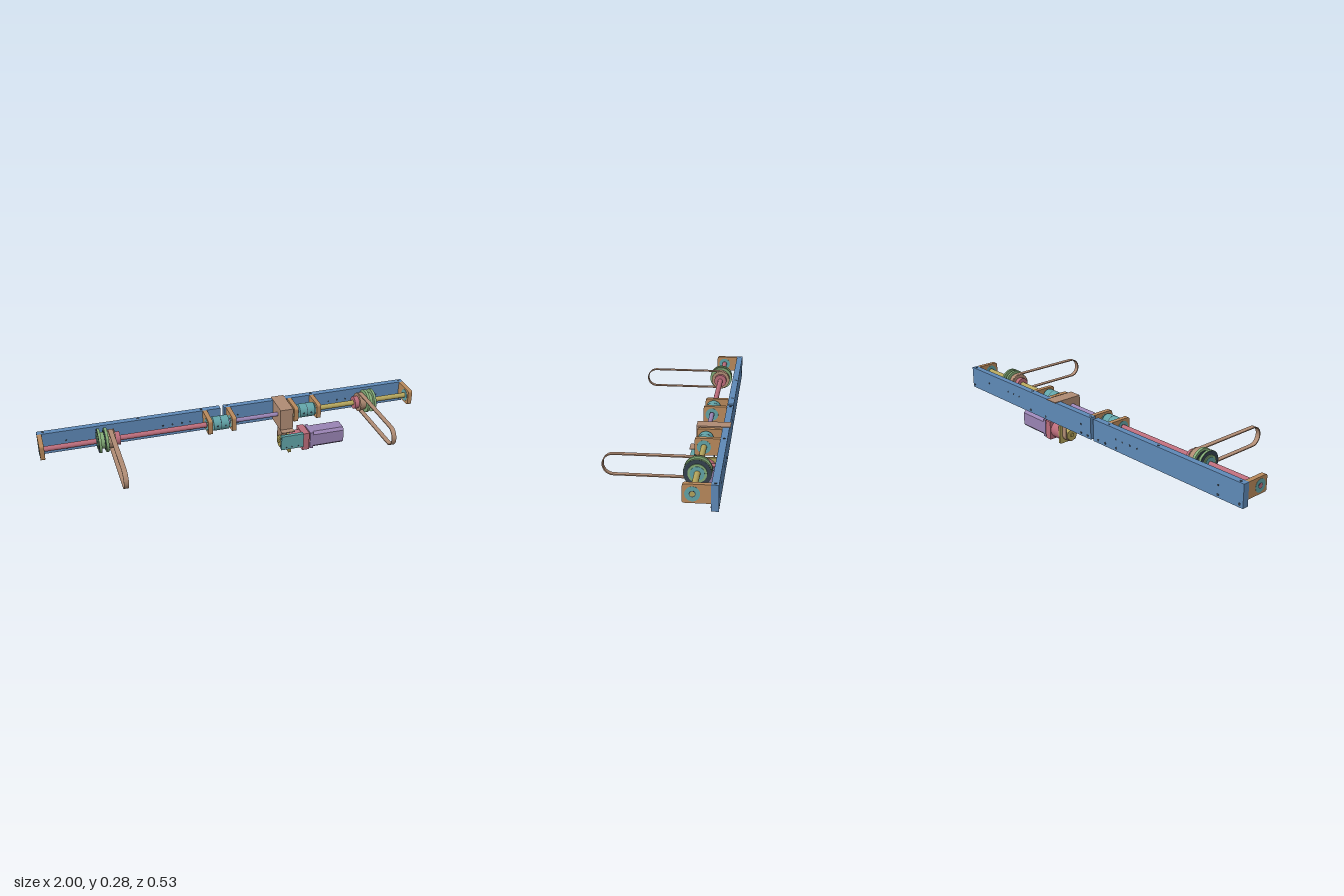
import * as THREE from 'three';

export function createModel() {
  const model = new THREE.Group();
  const paint = (name, color) => {
    const m = new THREE.MeshStandardMaterial({ color });
    m.name = name;
    return m;
  };
  const blue = paint('steel blue', 0x5f8ab8), red = paint('dusty red', 0xbb6c7a);
  const green = paint('soft green', 0x84ad78), teal = paint('teal', 0x62a4a8);
  const purple = paint('lavender', 0x9a84b4), yellow = paint('mustard', 0xb5a55c);
  const orange = paint('copper', 0xb98a5c), brown = paint('tan', 0xb08c74);
  const dark = paint('dark slate', 0x35424f);

  const SY = 0.218, SZ = -0.155; // main shaft axis
  const MY = 0.05; // motor axis height

  const add = (name, geo, mat, parent = model) => {
    const mesh = new THREE.Mesh(geo, mat);
    mesh.name = name;
    parent.add(mesh);
    return mesh;
  };
  // box given by its minimum and maximum on each axis
  const box = (name, mat, x0, x1, y0, y1, z0, z1) => {
    const m = add(name, new THREE.BoxGeometry(x1 - x0, y1 - y0, z1 - z0), mat);
    m.position.set((x0 + x1) / 2, (y0 + y1) / 2, (z0 + z1) / 2);
    return m;
  };
  // cylinder lying along x
  const rod = (name, mat, x0, x1, r, y = SY, z = SZ, seg = 40) => {
    const g = new THREE.CylinderGeometry(r, r, Math.abs(x1 - x0), seg).rotateZ(Math.PI / 2);
    const m = add(name, g, mat);
    m.position.set((x0 + x1) / 2, y, z);
    return m;
  };
  // profile in (-z, y) extruded along x
  const extrudeX = (name, mat, shape, x0, x1) => {
    const g = new THREE.ExtrudeGeometry(shape, { depth: x1 - x0, bevelEnabled: false, curveSegments: 24 });
    const m = add(name, g.rotateY(Math.PI / 2), mat);
    m.position.x = x0;
    return m;
  };
  // rounded slot outline around two pulley centres
  const slot = (path, length, r) => {
    path.absarc(length, 0, r, -Math.PI / 2, Math.PI / 2, false);
    path.absarc(0, 0, r, Math.PI / 2, Math.PI * 1.5, false);
    path.closePath();
    return path;
  };
  const belt = (name, x0, x1, length, r, t, turn, y, z) => {
    const shape = slot(new THREE.Shape(), length, r);
    shape.holes.push(slot(new THREE.Path(), length, r - t));
    const g = new THREE.ExtrudeGeometry(shape, { depth: x1 - x0, bevelEnabled: false, curveSegments: 24 });
    const m = add(name, g.rotateZ(turn).rotateY(Math.PI / 2), brown);
    m.position.set(x0, y, z);
  };
  // shallow dark disc marking a screw hole, facing along the chosen axis
  const hole = (x, y, z, axis, r = 0.007) => {
    const g = new THREE.CylinderGeometry(r, r, 0.002, 14);
    if (axis === 'z') g.rotateX(Math.PI / 2);
    if (axis === 'x') g.rotateZ(Math.PI / 2);
    add('screwHole', g, dark).position.set(x, y, z);
  };

  // two-piece mounting beam
  box('leftBeam', blue, -0.03, 1, 0.145, 0.26, -0.262, -0.23);
  box('rightBeam', blue, -1, -0.05, 0.145, 0.26, -0.262, -0.23);
  for (const x of [-0.98, -0.86, -0.215, -0.135, -0.085, -0.005, 0.045, 0.33, 0.46, 0.985])
    for (const z of [-0.23, -0.262]) hole(x, 0.16, z, 'z');
  for (const x of [-0.86, -0.36, -0.31, -0.26, -0.215, 0.045, 0.56, 0.61, 0.66, 0.84])
    for (const z of [-0.23, -0.262]) hole(x, 0.205, z, 'z', 0.005);
  for (const x of [-0.97, -0.485, -0.15, -0.01, 0.46, 0.98]) hole(x, 0.26, -0.247, 'y');

  // bearing plates with rounded front corners
  const plate = new THREE.Shape();
  plate.moveTo(0.23, 0.178);
  plate.lineTo(0.23, 0.26);
  plate.lineTo(0.126, 0.26);
  plate.quadraticCurveTo(0.112, 0.26, 0.112, 0.246);
  plate.lineTo(0.112, 0.19);
  plate.quadraticCurveTo(0.112, 0.178, 0.124, 0.178);
  plate.closePath();
  for (const x of [-1, -0.147, -0.02, 0.32, 0.447, 0.977]) {
    extrudeX('bearingPlate', orange, plate, x, x + 0.023);
    rod('bearing', teal, x - 0.001, x + 0.024, 0.032);
    rod('bearingBore', dark, x - 0.0015, x + 0.0245, 0.014);
  }

  // shafts
  rod('rightShaft', red, -0.998, -0.1, 0.0135);
  rod('middleShaft', purple, -0.05, 0.37, 0.0115);
  rod('leftShaft', yellow, 0.43, 1, 0.0135);
  rod('leftShaftTip', yellow, 0.99, 1.002, 0.011);
  rod('rightShaftTip', red, -1.002, -0.99, 0.011);

  // couplings
  for (const x of [-0.115, 0.357]) {
    rod('coupling', teal, x, x + 0.082, 0.037);
    rod('couplingSeam', dark, x + 0.039, x + 0.042, 0.0373);
    for (const dx of [0.02, 0.062]) hole(x + dx, SY, SZ + 0.037, 'z', 0.005);
  }

  // clutch, drive pulley and looped belt, mirrored about the machine centre
  const station = (x, s) => {
    const ring = (name, mat, a, b, r) => rod(name, mat, x + s * a, x + s * b, r);
    ring('clutchHub', green, 0, 0.058, 0.042);
    ring('clutchInnerDisc', green, 0.004, 0.018, 0.062);
    ring('clutchGroove', dark, 0.018, 0.022, 0.05);
    ring('clutchOuterDisc', green, 0.04, 0.052, 0.062);
    ring('clutchRim', dark, 0.0515, 0.0535, 0.06);
    ring('clutchCap', teal, 0.052, 0.06, 0.032);
    ring('pulley', brown, -0.03, 0, 0.0445);
    ring('pulleyFlange', brown, -0.034, -0.029, 0.05);
    ring('pulleyCollar', red, -0.058, -0.03, 0.034);
    const a = x - s * 0.003, b = x - s * 0.027;
    belt('conveyorBelt', Math.min(a, b), Math.max(a, b), 0.372, 0.05, 0.005, Math.PI, SY, SZ);
  };
  station(0.73, 1);
  station(-0.657, -1);

  // drive cover with thin top and bottom lips
  box('driveCover', brown, 0.241, 0.311, 0.146, 0.26, -0.23, -0.105);
  box('coverTopLip', brown, 0.241, 0.311, 0.259, 0.263, -0.267, -0.105);
  box('coverBottomLip', brown, 0.241, 0.311, 0.142, 0.146, -0.106, -0.072);

  // vertical drive belt and its lower pulley
  belt('driveBelt', 0.255, 0.285, SY - MY, 0.036, 0.005, Math.PI / 2, MY, SZ);
  rod('motorPulley', yellow, 0.252, 0.288, 0.03, MY);
  rod('motorShaft', yellow, 0.245, 0.31, 0.01, MY);

  // motor mounting plate with clipped lower corners
  const mount = new THREE.Shape();
  [[0.105, 0], [0.2, 0], [0.203, 0.004], [0.203, 0.1], [0.097, 0.1], [0.097, 0.006]]
    .forEach(([u, v], i) => (i ? mount.lineTo(u, v) : mount.moveTo(u, v)));
  extrudeX('mountPlate', yellow, mount, 0.29, 0.302);

  // gearhead and flange
  rod('gearhead', red, 0.302, 0.375, 0.046, MY);
  box('gearheadFlange', red, 0.37, 0.408, 0, 0.1, -0.205, -0.105);
  box('gearheadNeck', red, 0.408, 0.425, 0.008, 0.092, -0.197, -0.113);

  // motor body with clipped corners and end screws
  const body = new THREE.Shape();
  const h = 0.047, c = 0.014;
  [[-h + c, -h], [h - c, -h], [h, -h + c], [h, h - c], [h - c, h], [-h + c, h], [-h, h - c], [-h, -h + c]]
    .forEach(([u, v], i) => (i ? body.lineTo(u - SZ, v + MY) : body.moveTo(u - SZ, v + MY)));
  extrudeX('motorBody', purple, body, 0.42, 0.608);
  box('motorFrontPlate', purple, 0.415, 0.432, 0.002, 0.098, -0.203, -0.107);
  for (const a of [-1, 1]) for (const b of [-1, 1])
    hole(0.432, MY + a * 0.039, SZ + b * 0.039, 'x', 0.006);

  // switch box in front of the drive
  box('switchBox', teal, 0.241, 0.365, 0.038, 0.119, -0.097, -0.077);
  for (const y of [0.065, 0.105]) for (const x of [0.241, 0.365]) hole(x, y, -0.087, 'x', 0.004);
  for (const x of [0.27, 0.3, 0.335]) hole(x, 0.05, -0.077, 'z', 0.004);

  return model;
}
